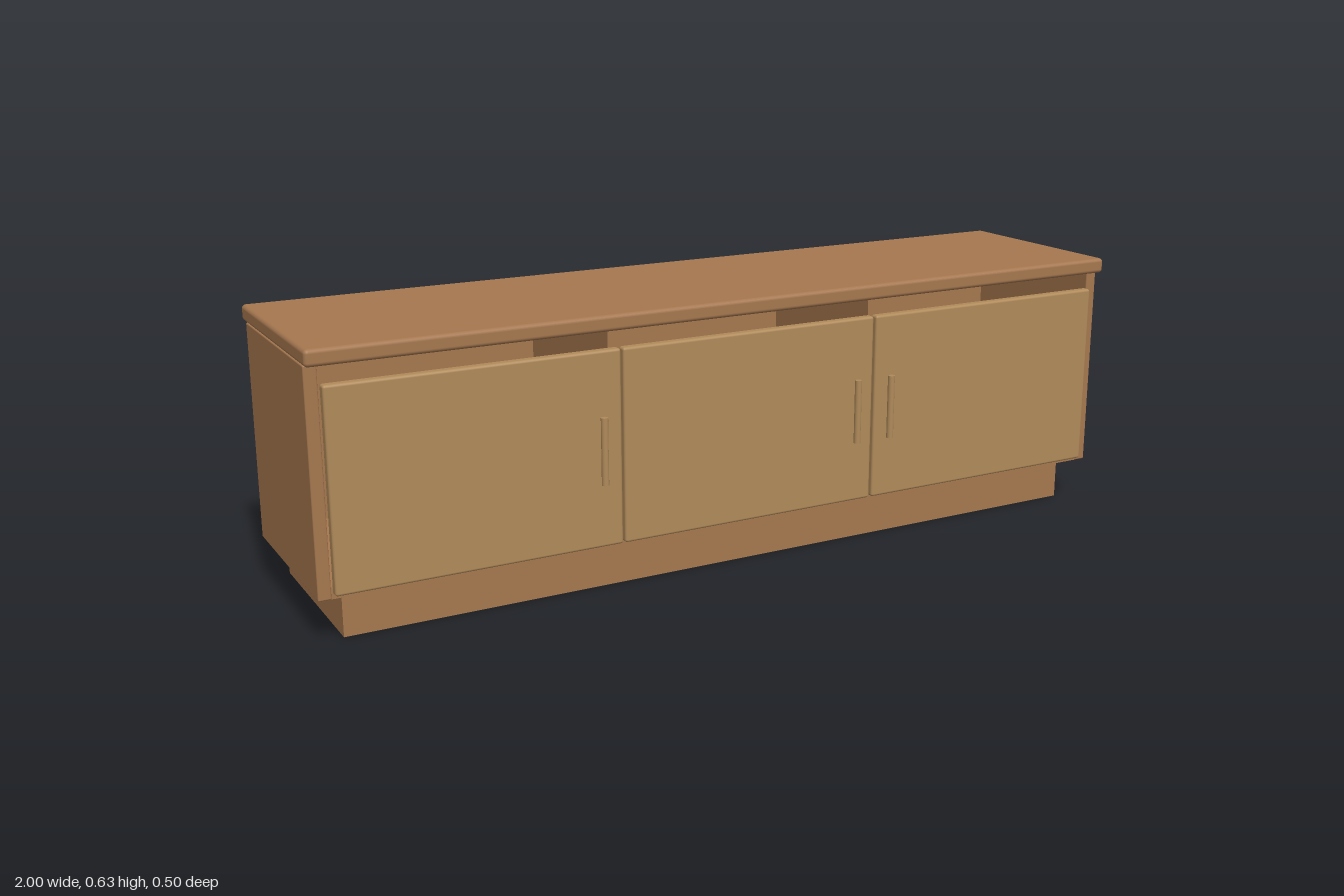
import * as THREE from 'three';
import { RoundedBoxGeometry } from 'three/addons/geometries/RoundedBoxGeometry.js';

export function createModel() {
  const model = new THREE.Group();
  model.name = 'sideboard';
  const wood = new THREE.MeshStandardMaterial({ color: 0xa5774f });
  const doorWood = new THREE.MeshStandardMaterial({ color: 0xb08a5a });

  // Board given by its min and max on each axis; a radius rounds its edges
  const board = (name, [x0, x1], [y0, y1], [z0, z1], radius = 0, material = wood) => {
    const size = [x1 - x0, y1 - y0, z1 - z0];
    const geometry = radius
      ? new RoundedBoxGeometry(...size, 3, radius)
      : new THREE.BoxGeometry(...size);
    const mesh = new THREE.Mesh(geometry, material);
    mesh.name = name;
    mesh.position.set((x0 + x1) / 2, (y0 + y1) / 2, (z0 + z1) / 2);
    model.add(mesh);
    return mesh;
  };

  // Overhanging top and recessed plinth
  board('top', [-1, 1], [0.59, 0.626], [-0.25, 0.236], 0.009);
  board('plinth', [-0.94, 0.94], [0, 0.102], [-0.238, 0.175]);

  // Carcass: sides, dividers, bottom and inset back
  for (const s of [-1, 1]) {
    const span = (a, b) => (s > 0 ? [a, b] : [-b, -a]);
    const side = s > 0 ? 'left' : 'right';
    board(side + 'Side', span(0.97, 0.998), [0.102, 0.59], [-0.225, 0.212], 0.003);
    board(side + 'Divider', span(0.32, 0.345), [0.125, 0.59], [-0.2, 0.205]);
  }
  board('bottom', [-0.97, 0.97], [0.102, 0.128], [-0.212, 0.21]);
  board('back', [-0.97, 0.97], [0.102, 0.59], [-0.212, -0.2]);

  // Three doors, each with a slim upright handle
  const doors = [
    { name: 'right', span: [-0.968, -0.328], handleX: -0.373 },
    { name: 'middle', span: [-0.323, 0.317], handleX: 0.273 },
    { name: 'left', span: [0.323, 0.963], handleX: 0.365 },
  ];
  const handleGeometry = new THREE.CylinderGeometry(0.008, 0.008, 0.15, 20);
  for (const { name, span, handleX } of doors) {
    board(name + 'Door', span, [0.115, 0.552], [0.212, 0.236], 0.006, doorWood);
    const handle = new THREE.Mesh(handleGeometry, doorWood);
    handle.name = name + 'Handle';
    handle.position.set(handleX, 0.333, 0.243);
    model.add(handle);
  }
  return model;
}
